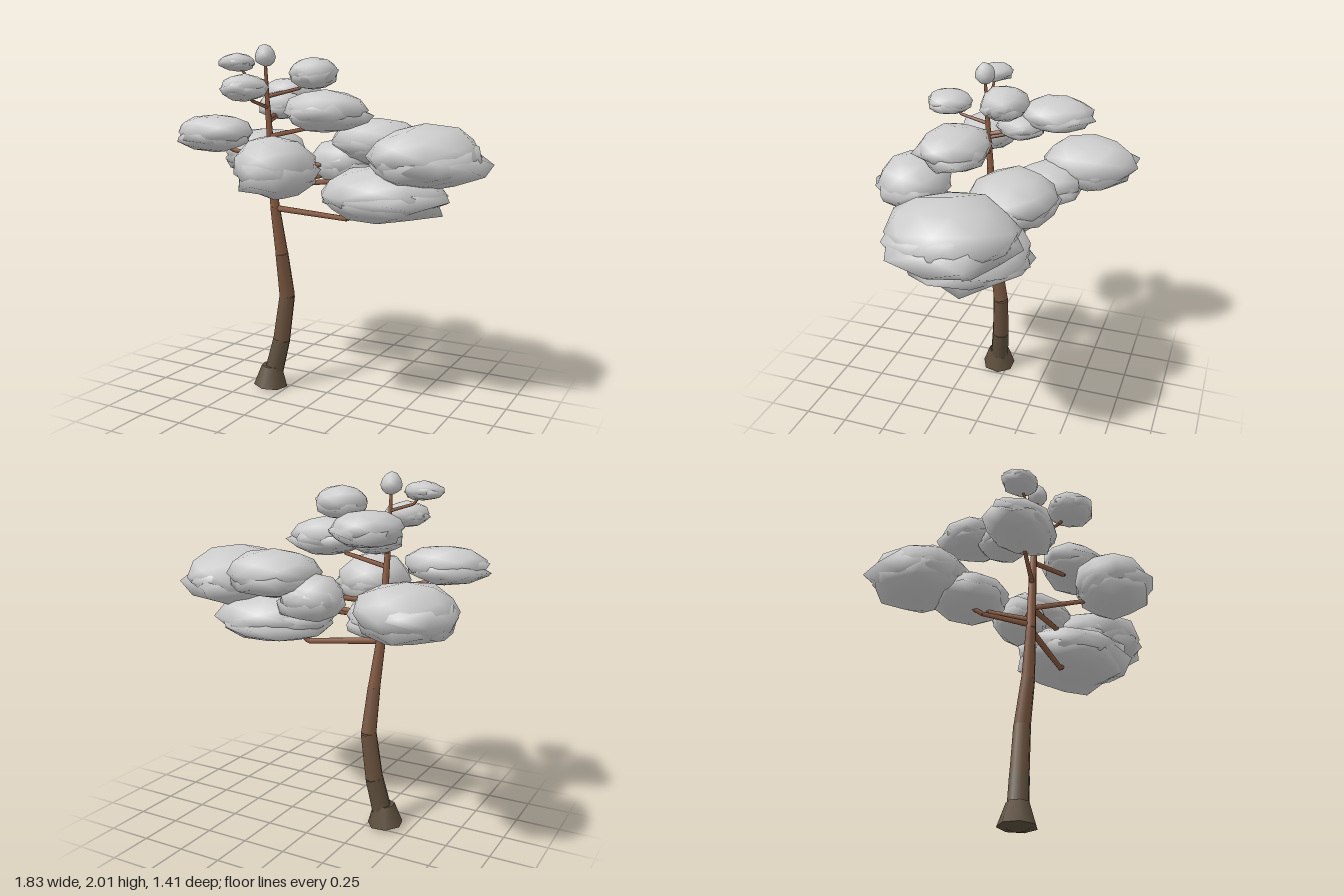
import * as THREE from 'three';
import { mergeVertices } from 'three/addons/utils/BufferGeometryUtils.js';

const UP = new THREE.Vector3(0, 1, 0);
const V = (a) => new THREE.Vector3(...a);

function seeded(seed) {
  let s = seed * 7919 + 13;
  return () => ((s = (s * 16807) % 2147483647) / 2147483647);
}

// Trunk centre line: x, y, z, radius
const TRUNK = [
  [-0.35, 0.01, 0.06, 0.06], [-0.29, 0.29, 0.03, 0.052], [-0.255, 0.56, 0.02, 0.046],
  [-0.265, 0.82, 0.06, 0.037], [-0.29, 1.1, 0.09, 0.027], [-0.302, 1.4, 0.105, 0.021],
  [-0.31, 1.68, 0.125, 0.014], [-0.312, 1.92, 0.14, 0.007],
];

// Leaf clusters: centre, half sizes, height where the branch leaves the trunk
const CLUSTERS = [
  { c: [0.58, 1.41, 0.0], r: [0.31, 0.17, 0.33], from: 1.22 },
  { c: [0.34, 1.2, 0.0], r: [0.36, 0.15, 0.33], from: 1.09, elbow: [0.14, 1.05, 0.03] },
  { c: [0.22, 1.47, -0.2], r: [0.26, 0.13, 0.23], from: 1.3 },
  { c: [0.0, 1.35, -0.17], r: [0.19, 0.13, 0.16], from: 1.22 },
  { c: [0.08, 1.65, 0.17], r: [0.23, 0.11, 0.19], from: 1.5 },
  { c: [-0.11, 1.85, -0.04], r: [0.14, 0.09, 0.13], from: 1.72 },
  { c: [-0.06, 1.37, 0.47], r: [0.22, 0.16, 0.21], from: 1.22 },
  { c: [-0.65, 1.37, -0.4], r: [0.25, 0.15, 0.28], from: 1.12, elbow: [-0.45, 1.17, -0.12] },
  { c: [-0.45, 1.3, -0.2], r: [0.21, 0.11, 0.2], from: 1.15 },
  { c: [-0.37, 1.74, -0.26], r: [0.18, 0.095, 0.21], from: 1.6 },
  { c: [-0.6, 1.52, 0.22], r: [0.23, 0.105, 0.17], from: 1.37 },
  { c: [-0.5, 1.91, 0.14], r: [0.11, 0.05, 0.1], from: 1.8 },
  { c: [-0.31, 1.77, 0.35], r: [0.13, 0.07, 0.13], from: 1.66 },
  { c: [-0.33, 1.67, -0.07], r: [0.14, 0.08, 0.14], from: 1.58 },
];

function trunkAt(y) {
  const i = Math.max(1, TRUNK.findIndex((p) => p[1] >= y));
  const a = V(TRUNK[i - 1]), b = V(TRUNK[i]);
  return a.lerp(b, (y - a.y) / (b.y - a.y));
}

function limb(a, b, r0, r1, material, name, sides = 8) {
  const d = b.clone().sub(a);
  const mesh = new THREE.Mesh(new THREE.CylinderGeometry(r1, r0, d.length(), sides), material);
  mesh.position.copy(a).addScaledVector(d, 0.5);
  mesh.quaternion.setFromUnitVectors(UP, d.normalize());
  mesh.name = name;
  return mesh;
}

// Lumpy smooth ball; spiky > 0 pulls out ragged points on the side away from the trunk
function leafBall(r, out, spiky, seed) {
  const rand = seeded(seed);
  let geo = new THREE.IcosahedronGeometry(1, 1);
  geo.deleteAttribute('uv');
  geo.deleteAttribute('normal');
  geo = mergeVertices(geo, 1e-3);
  geo.rotateY(rand() * 6.28);
  const pos = geo.attributes.position, p = new THREE.Vector3();
  for (let i = 0; i < pos.count; i++) {
    p.fromBufferAttribute(pos, i);
    let s = 0.94 + rand() * 0.12;
    if (spiky) {
      const edge = 1 - Math.abs(p.y);
      s = 0.84 + rand() * 0.16 + (rand() < 0.4 ? 0.24 * edge * (0.6 + 0.4 * p.dot(out)) : 0);
    }
    p.multiplyScalar(s);
    if (p.y < 0 && !spiky) p.y *= 0.75;
    pos.setXYZ(i, p.x * r[0], p.y * r[1], p.z * r[2]);
  }
  geo.computeVertexNormals();
  return geo;
}

export function createModel() {
  const model = new THREE.Group();
  model.name = 'tree';
  const leaf = new THREE.MeshStandardMaterial({ color: 0xcccccc, side: THREE.DoubleSide });
  const bark = (t) => new THREE.MeshStandardMaterial({
    color: new THREE.Color(0x5c4e3c).lerp(new THREE.Color(0x8a5a40), t),
  });

  // Flared root collar
  const root = limb(V([-0.35, 0.01, 0.06]), V([-0.342, 0.13, 0.058]), 0.103, 0.062, bark(0), 'rootCollar', 7);
  model.add(root);

  // Trunk in tapering, slightly overlapping sections
  const trunk = new THREE.Group();
  trunk.name = 'trunk';
  for (let i = 1; i < TRUNK.length; i++) {
    const a = TRUNK[i - 1], b = TRUNK[i];
    trunk.add(limb(V(a), V(b), a[3], b[3] + 0.001, bark(Math.min(1, (i - 1) / 4)), 'trunkSection'));
  }
  model.add(trunk);

  // Branches with an elbow, each carrying a domed leaf cluster with a ragged skirt
  const branches = new THREE.Group(), foliage = new THREE.Group();
  branches.name = 'branches';
  foliage.name = 'foliage';
  const twigBark = bark(1);
  CLUSTERS.forEach(({ c, r, from, elbow }, i) => {
    const start = trunkAt(from), end = V(c);
    const bend = elbow ? V(elbow) : start.clone().lerp(end, 0.7).setY(from + (c[1] - from) * 0.35);
    const w = 0.005 + r[0] * 0.03;
    branches.add(limb(start, bend, w * 1.25, w, twigBark, 'branch', 6));
    branches.add(limb(bend, end, w, w * 0.6, twigBark, 'branchTip', 6));

    const out = new THREE.Vector3(end.x - start.x, 0, end.z - start.z).normalize();
    const dome = new THREE.Mesh(leafBall(r, out, 0, i + 1), leaf);
    dome.position.copy(end);
    dome.name = 'leafDome';
    foliage.add(dome);
    for (let k = 0; k < 2; k++) {
      const skirt = new THREE.Mesh(leafBall([r[0], r[1] * 0.85, r[2]], out, 1, i * 2 + k + 50), leaf);
      skirt.position.set(c[0], c[1] - r[1] * (0.1 + 0.15 * k), c[2]);
      skirt.name = 'leafSkirt';
      foliage.add(skirt);
    }
  });

  // Small bud at the tip of the trunk
  const bud = new THREE.Mesh(leafBall([0.058, 0.068, 0.058], UP, 0, 99), leaf);
  bud.position.set(-0.312, 1.935, 0.14);
  bud.name = 'topBud';
  foliage.add(bud);

  model.add(branches, foliage);
  return model;
}
